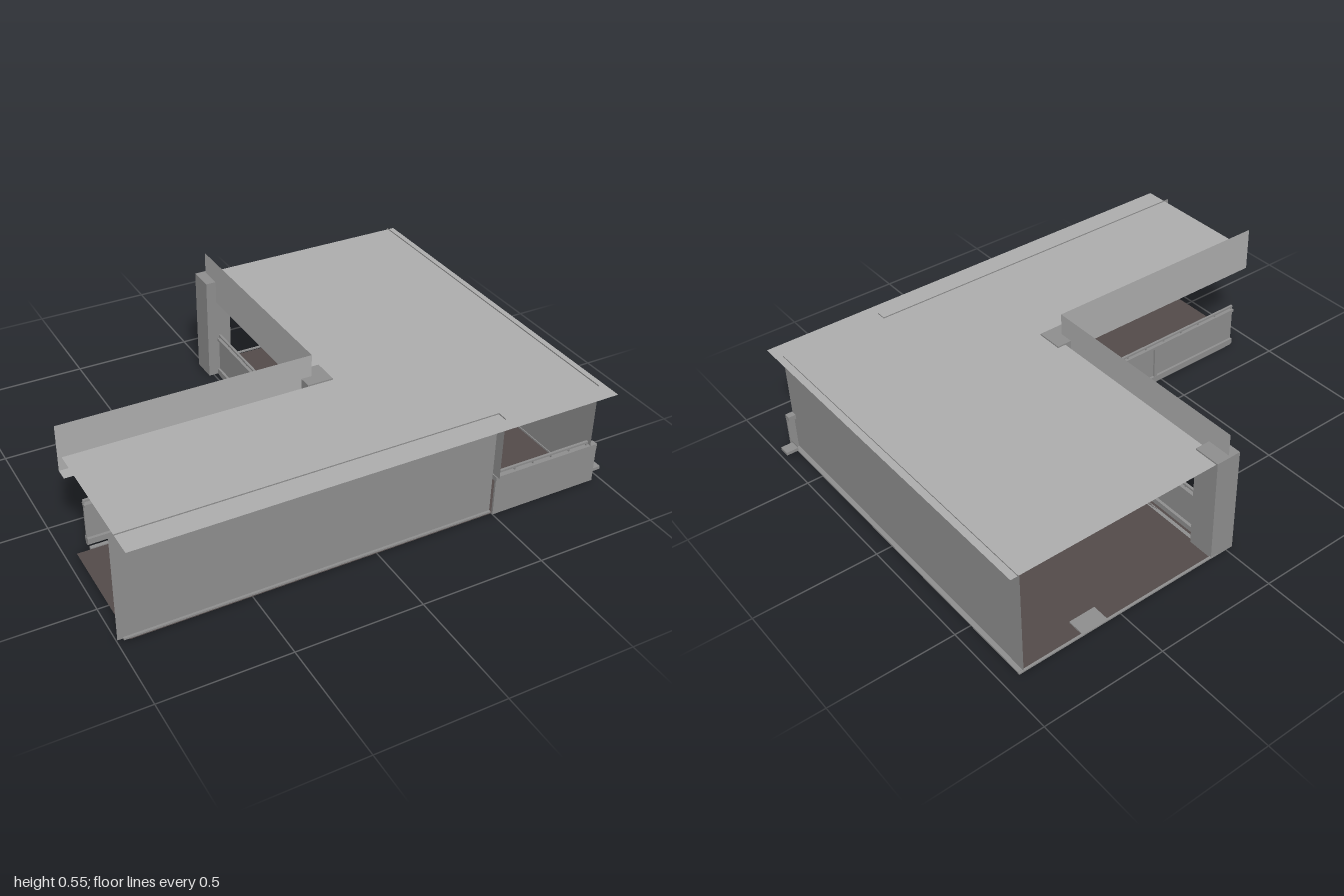
import * as THREE from 'three';

const paint = (color) => new THREE.MeshStandardMaterial({ color, side: THREE.DoubleSide });
const light = paint(0xadadad);
const dark = paint(0x8e8e8e);
const brown = paint(0x534b4a);

function add(parent, name, geometry, material) {
  const mesh = new THREE.Mesh(geometry, material);
  mesh.name = name;
  parent.add(mesh);
  return mesh;
}

// Box given by its limits on each axis
function box(parent, name, [x0, x1], [y0, y1], [z0, z1], material = dark) {
  add(parent, name, new THREE.BoxGeometry(x1 - x0, y1 - y0, z1 - z0), material)
    .position.set((x0 + x1) / 2, (y0 + y1) / 2, (z0 + z1) / 2);
}

// Thin upright sheet facing z
function sheetZ(parent, name, [x0, x1], [y0, y1], z, material = dark) {
  add(parent, name, new THREE.PlaneGeometry(x1 - x0, y1 - y0), material)
    .position.set((x0 + x1) / 2, (y0 + y1) / 2, z);
}

// Thin upright sheet facing x
function sheetX(parent, name, x, [y0, y1], [z0, z1], material = dark) {
  const mesh = add(parent, name, new THREE.PlaneGeometry(z1 - z0, y1 - y0), material);
  mesh.rotation.y = Math.PI / 2;
  mesh.position.set(x, (y0 + y1) / 2, (z0 + z1) / 2);
}

// Thin level sheet: points are [x, z]
function level(parent, name, points, y, material) {
  const shape = new THREE.Shape(points.map(([x, z]) => new THREE.Vector2(x, -z)));
  const geometry = new THREE.ShapeGeometry(shape).rotateX(-Math.PI / 2);
  add(parent, name, geometry, material).position.y = y;
}

// Thin handrail on short pegs, running along x from 0 to length
function handrail(parent, length, pegs) {
  box(parent, 'handrail', [0, length], [0.195, 0.203], [-0.005, 0.005]);
  for (let i = 0; i < pegs; i++) {
    const x = 0.003 + (length - 0.006) * i / (pegs - 1);
    box(parent, 'handrailPeg', [x - 0.003, x + 0.003], [0.185, 0.195], [-0.003, 0.003]);
  }
}

// Solid balustrade along x, outer face towards -z
function balustrade(length) {
  const group = new THREE.Group();
  group.name = 'balustrade';
  box(group, 'balustradePanel', [0, length], [0.03, 0.185], [0.01, 0.018]);
  box(group, 'balustradeCap', [0, length], [0.175, 0.187], [0.002, 0.028]);
  box(group, 'balustradeBase', [0, length], [0.012, 0.035], [0, 0.03]);
  box(group, 'baseTrack', [0, length], [0.002, 0.012], [0.004, 0.02]);
  box(group, 'baseTrack', [0, length], [0.002, 0.012], [0.04, 0.055]);
  box(group, 'balustradePost', [length / 2 - 0.008, length / 2 + 0.008], [0.035, 0.175], [0.001, 0.022]);
  const rail = new THREE.Group();
  rail.name = 'railing';
  rail.position.z = 0.014;
  handrail(rail, length, 10);
  group.add(rail);
  return group;
}

export function createModel() {
  const model = new THREE.Group();
  model.name = 'cornerVeranda';

  // Floor and roof share the L plan
  level(model, 'roof', [[-0.98, 0.785], [0.95, 0.785], [0.95, -0.778], [0.045, -0.778], [0.045, 0.21], [-0.98, 0.21]], 0.45, light);
  level(model, 'floor', [[-0.96, 0.7], [0.925, 0.7], [0.925, -0.775], [0.04, -0.775], [0.04, 0.2], [-0.96, 0.2]], 0.012, brown);
  box(model, 'backSill', [0.05, 0.94], [0.012, 0.018], [-0.787, -0.778]);
  box(model, 'floorPlate', [0.56, 0.67], [0.009, 0.018], [-0.78, -0.71]);

  // Outer walls, just breaking through the roof
  sheetZ(model, 'frontWall', [-1, 0.49], [0.014, 0.455], 0.688);
  sheetX(model, 'windowReveal', 0.49, [0.19, 0.455], [0.688, 0.73]);
  sheetX(model, 'sideWall', 0.922, [0.014, 0.455], [-0.787, 0.71]);
  box(model, 'frontSkirting', [-0.98, 0.49], [0.013, 0.02], [0.685, 0.697]);
  box(model, 'sideSkirting', [0.918, 0.94], [0.013, 0.02], [-0.78, 0.7]);

  // Low wall, ledge and handrail of the front opening
  box(model, 'lowWall', [0.49, 0.953], [0.014, 0.165], [0.702, 0.71]);
  box(model, 'ledge', [0.49, 0.953], [0.165, 0.185], [0.685, 0.712]);
  const rail = new THREE.Group();
  rail.name = 'openingRailing';
  rail.position.set(0.495, 0, 0.698);
  handrail(rail, 0.42, 6);
  model.add(rail);
  box(model, 'sideBracket', [0.95, 1], [0.042, 0.055], [0.65, 0.695]);
  sheetX(model, 'bracketPlate', 0.95, [0.035, 0.06], [0.65, 0.71]);

  // L-section fascias along the inner edges
  sheetZ(model, 'fascia', [-0.98, 0.018], [0.36, 0.547], 0.159, light);
  sheetX(model, 'fascia', 0.018, [0.36, 0.547], [-0.775, 0.159], light);
  level(model, 'fasciaFlange', [[-0.98, 0.21], [0.045, 0.21], [0.045, -0.775], [0.018, -0.775], [0.018, 0.159], [-0.98, 0.159]], 0.36, light);

  // Square columns at the inner corner and the back end
  for (const z of [0.1, -0.785]) {
    box(model, 'column', [-0.025, 0.08], [0.008, 0.456], [z, z + 0.11]);
  }

  // Balustrades along both inner edges
  const alongX = balustrade(0.88);
  alongX.position.set(-0.905, 0, 0.14);
  model.add(alongX);
  const alongZ = balustrade(0.77);
  alongZ.rotation.y = Math.PI / 2;
  alongZ.position.set(0.014, 0, 0.1);
  model.add(alongZ);

  return model;
}
